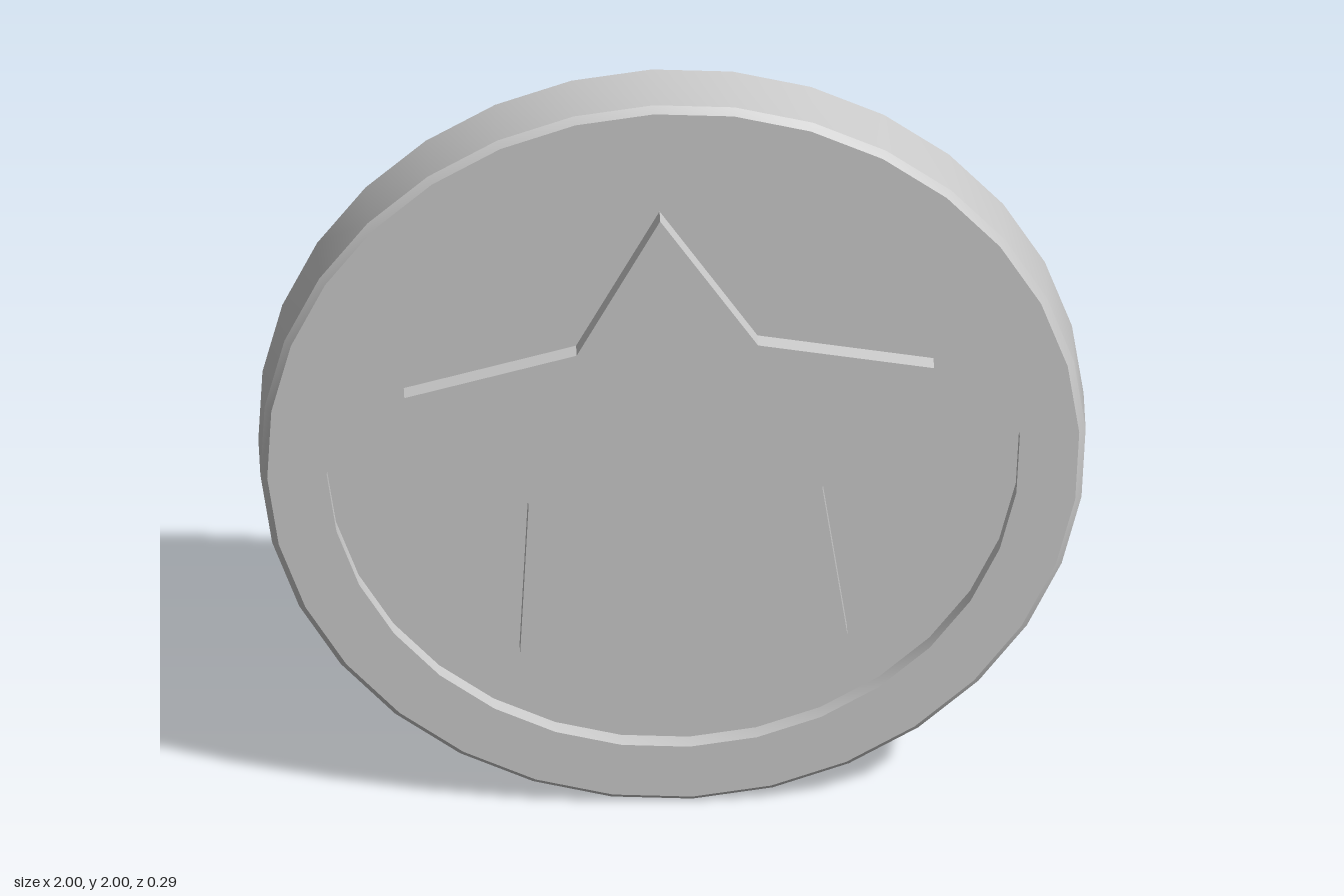
import * as THREE from 'three';
import { toCreasedNormals } from 'three/addons/utils/BufferGeometryUtils.js';

const HALF = 0.096;    // half thickness of the coin
const FLOOR = 0.051;   // height of the recessed floors
const BEVEL = 0.016;

export function createModel() {
  const silver = new THREE.MeshStandardMaterial({ color: 0xcccccc });
  silver.name = 'silver';

  const coin = new THREE.Group();
  coin.name = 'coin';

  // Disc with bevelled rim and a round recess on both faces
  const half = [
    [0, FLOOR], [0.84, FLOOR], [0.84, HALF], [1 - BEVEL, HALF], [1, HALF - BEVEL],
  ];
  const profile = [
    ...half.map(([r, z]) => new THREE.Vector2(r, -z)),
    ...half.slice().reverse().map(([r, z]) => new THREE.Vector2(r, z)),
  ];
  const discGeometry = new THREE.LatheGeometry(profile, 32);
  discGeometry.rotateX(Math.PI / 2);
  const disc = new THREE.Mesh(toCreasedNormals(discGeometry, 0.4), silver);
  disc.name = 'disc';
  coin.add(disc);

  // Raised star on each face
  const points = [];
  for (let i = 0; i < 10; i++) {
    const angle = Math.PI / 2 + (i * Math.PI) / 5;
    const radius = i % 2 ? 0.374 : 0.675;
    points.push(new THREE.Vector2(radius * Math.cos(angle), radius * Math.sin(angle)));
  }
  const depth = HALF - FLOOR + 0.01;
  const starGeometry = new THREE.ExtrudeGeometry(new THREE.Shape(points), { depth, bevelEnabled: false });
  starGeometry.translate(0, 0, HALF - depth);
  for (const [name, turn] of [['frontStar', 0], ['backStar', Math.PI]]) {
    const star = new THREE.Mesh(starGeometry, silver);
    star.name = name;
    star.rotation.y = turn;
    coin.add(star);
  }

  // Slight turn and roll of the standing coin
  coin.rotation.set(0, 0.048, 0.047);
  coin.position.y = 1;

  const model = new THREE.Group();
  model.name = 'starCoin';
  model.add(coin);
  return model;
}
